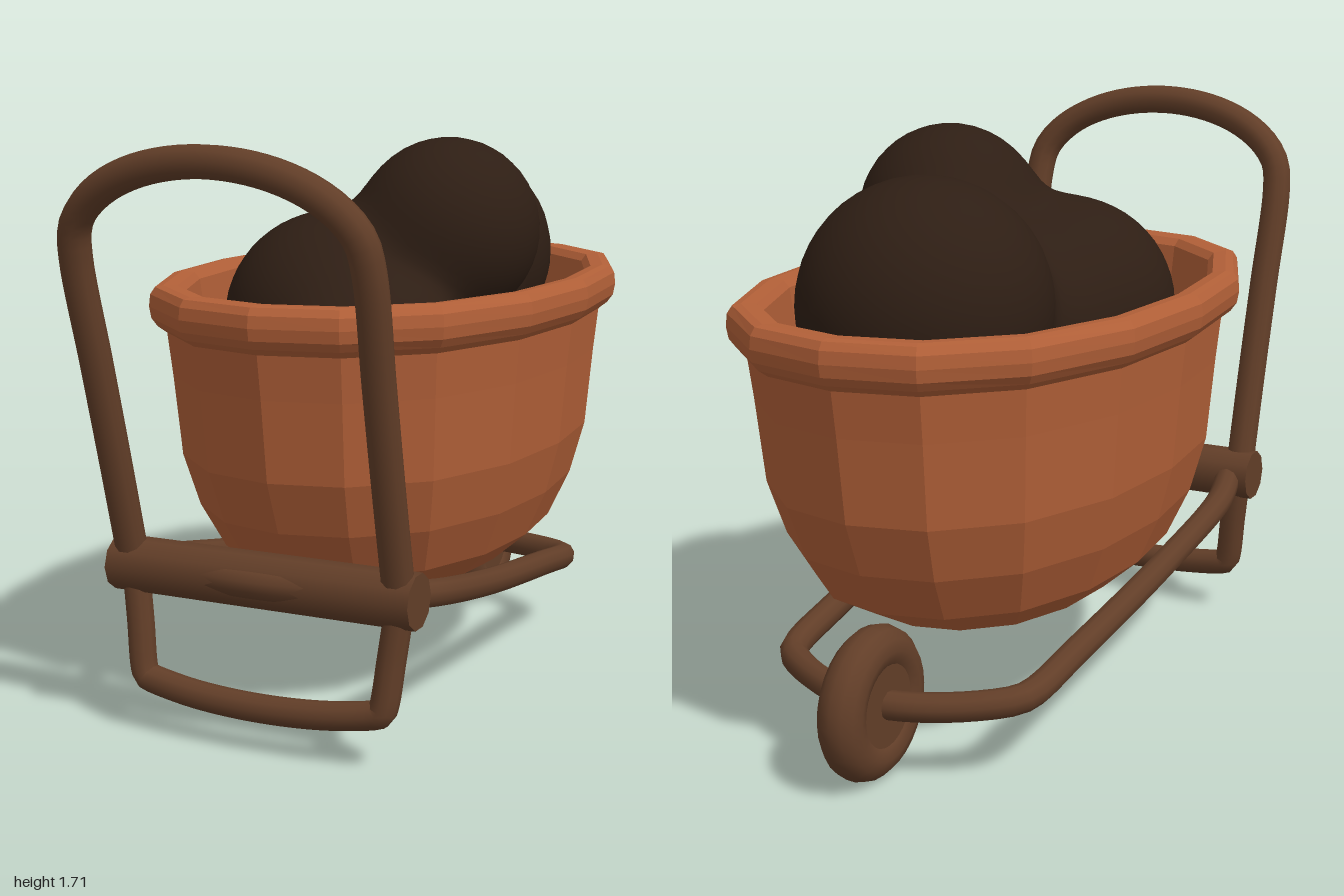
import * as THREE from 'three';
import { mergeVertices } from 'three/addons/utils/BufferGeometryUtils.js';

const V = (x, y, z) => new THREE.Vector3(x, y, z);
const clay = new THREE.MeshStandardMaterial({ color: 0xb26038, flatShading: true });
const wood = new THREE.MeshStandardMaterial({ color: 0x623e28 });
const soilMat = new THREE.MeshStandardMaterial({ color: 0x2e1e14 });

function add(parent, name, geometry, material) {
  const mesh = new THREE.Mesh(geometry, material);
  mesh.name = name;
  parent.add(mesh);
  return mesh;
}

// Bent rod given by its right half (x >= 0) and mirrored to the left
function rod(parent, name, half, radius, mid) {
  const left = half.map(p => V(-p.x, p.y, p.z));
  const points = [...left, mid, ...half.slice().reverse()];
  const curve = new THREE.CatmullRomCurve3(points, false, 'centripetal');
  return add(parent, name, new THREE.TubeGeometry(curve, 90, radius, 10), wood);
}

// Oval tub: 16-sided lathe, stretched lengthwise with an even wall and fuller diagonals
function tubGeometry() {
  const profile = [
    [0, 0.305], [0.2, 0.318], [0.34, 0.365], [0.45, 0.46], [0.512, 0.6], [0.553, 0.76],
    [0.573, 1.0], [0.586, 1.13], [0.612, 1.15], [0.63, 1.175], [0.636, 1.21], [0.632, 1.245],
    [0.618, 1.266], [0.595, 1.27], [0.56, 1.266], [0.545, 1.245], [0.52, 1.0], [0.48, 0.76],
    [0.4, 0.55], [0.25, 0.42], [0, 0.4],
  ].map(([r, y]) => new THREE.Vector2(r, y));
  const geo = new THREE.LatheGeometry(profile, 16);
  const p = geo.attributes.position;
  for (let i = 0; i < p.count; i++) {
    const x = p.getX(i), z = p.getZ(i), r = Math.hypot(x, z);
    if (r < 0.001) continue;
    const full = 1 + 0.037 * (2 * x * z / (r * r)) ** 2;
    p.setX(i, x * full);
    p.setZ(i, z * full * (r + 0.323 * Math.min(1, r / 0.59)) / r);
  }
  geo.computeVertexNormals();
  return geo;
}

// Soil heap: a ball shrunk onto softly blended lumps
function soilGeometry() {
  const lumps = [
    [V(0.455, 1.275, -0.55), 0.348], [V(0.25, 1.412, 0.065), 0.274],
    [V(-0.09, 1.14, -0.02), 0.325], [V(-0.13, 1.06, 0.27), 0.235],
    [V(0, 1.06, 0.3), 0.2], [V(0.33, 1.23, -0.23), 0.26], [V(0.1, 1.14, -0.22), 0.275],
  ];
  const k = 0.045;
  const distance = q => -k * Math.log(
    lumps.reduce((s, [c, r]) => s + Math.exp(-(q.distanceTo(c) - r) / k), 0));
  const geo = new THREE.IcosahedronGeometry(1, 16);
  geo.deleteAttribute('uv');
  geo.deleteAttribute('normal');
  const smooth = mergeVertices(geo);
  const p = smooth.attributes.position;
  const centre = V(0.17, 1.16, -0.16), dir = V(), q = V();
  for (let i = 0; i < p.count; i++) {
    dir.fromBufferAttribute(p, i).normalize();
    let t = 1.4;
    for (let n = 0; n < 80; n++) {
      q.copy(centre).addScaledVector(dir, t);
      t = Math.max(0.02, t - 0.9 * distance(q));
    }
    q.copy(centre).addScaledVector(dir, t);
    p.setXYZ(i, q.x, q.y, q.z);
  }
  smooth.computeVertexNormals();
  return smooth;
}

export function createModel() {
  const model = new THREE.Group();
  model.name = 'wheelbarrowPlanter';

  // Barrow is built along z (handle at +z), then turned diagonally
  const barrow = new THREE.Group();
  barrow.name = 'barrow';
  barrow.position.set(0.155, 0, -0.17);
  barrow.rotation.y = -0.729;
  model.add(barrow);

  add(barrow, 'tub', tubGeometry(), clay);
  add(model, 'soil', soilGeometry(), soilMat);

  // Cross bar
  const bar = add(barrow, 'crossBar', new THREE.CylinderGeometry(0.08, 0.08, 0.95, 10), wood);
  bar.rotation.z = Math.PI / 2;
  bar.position.set(0, 0.487, 0.88);
  rod(barrow, 'crossBarRib', [V(0.4, 0.49, 0.87), V(0.2, 0.49, 0.905)], 0.046, V(0, 0.49, 0.925));

  // Arched push handle
  const arch = [V(0.42, 0.48, 0.885), V(0.424, 0.8, 0.965), V(0.43, 1.1, 1.04), V(0.437, 1.4, 1.115)];
  for (let i = 1; i < 6; i++) {
    const a = i * Math.PI / 12;
    arch.push(V(0.437 * Math.cos(a), 1.42 + 0.25 * Math.sin(a), 1.12 + 0.06 * Math.sin(a)));
  }
  rod(barrow, 'handle', arch, 0.046, V(0, 1.67, 1.18));

  // Stand below the cross bar
  rod(barrow, 'stand', [
    V(0.42, 0.48, 0.88), V(0.4, 0.32, 0.892), V(0.383, 0.185, 0.905),
    V(0.373, 0.162, 0.907), V(0.35, 0.155, 0.908), V(0.2, 0.135, 0.92),
  ], 0.041, V(0, 0.127, 0.925));

  // Side rails joined by the wheel axle
  rod(barrow, 'frameRails', [
    V(0.385, 0.485, 0.88), V(0.415, 0.472, 0.78), V(0.437, 0.45, 0.66), V(0.425, 0.37, 0.25),
    V(0.4, 0.285, -0.3), V(0.38, 0.245, -0.55), V(0.35, 0.238, -0.6), V(0.18, 0.225, -0.7),
  ], 0.041, V(0, 0.22, -0.74));

  // Wheel: round tyre with a recessed disc
  const wheel = new THREE.Group();
  wheel.name = 'wheel';
  wheel.position.set(0.005, 0.218, -0.74);
  wheel.rotation.y = Math.PI / 2;
  barrow.add(wheel);
  add(wheel, 'tyre', new THREE.TorusGeometry(0.152, 0.065, 12, 28), wood);
  const disc = add(wheel, 'wheelDisc', new THREE.CylinderGeometry(0.14, 0.14, 0.106, 24), wood);
  disc.rotation.x = Math.PI / 2;

  return model;
}
